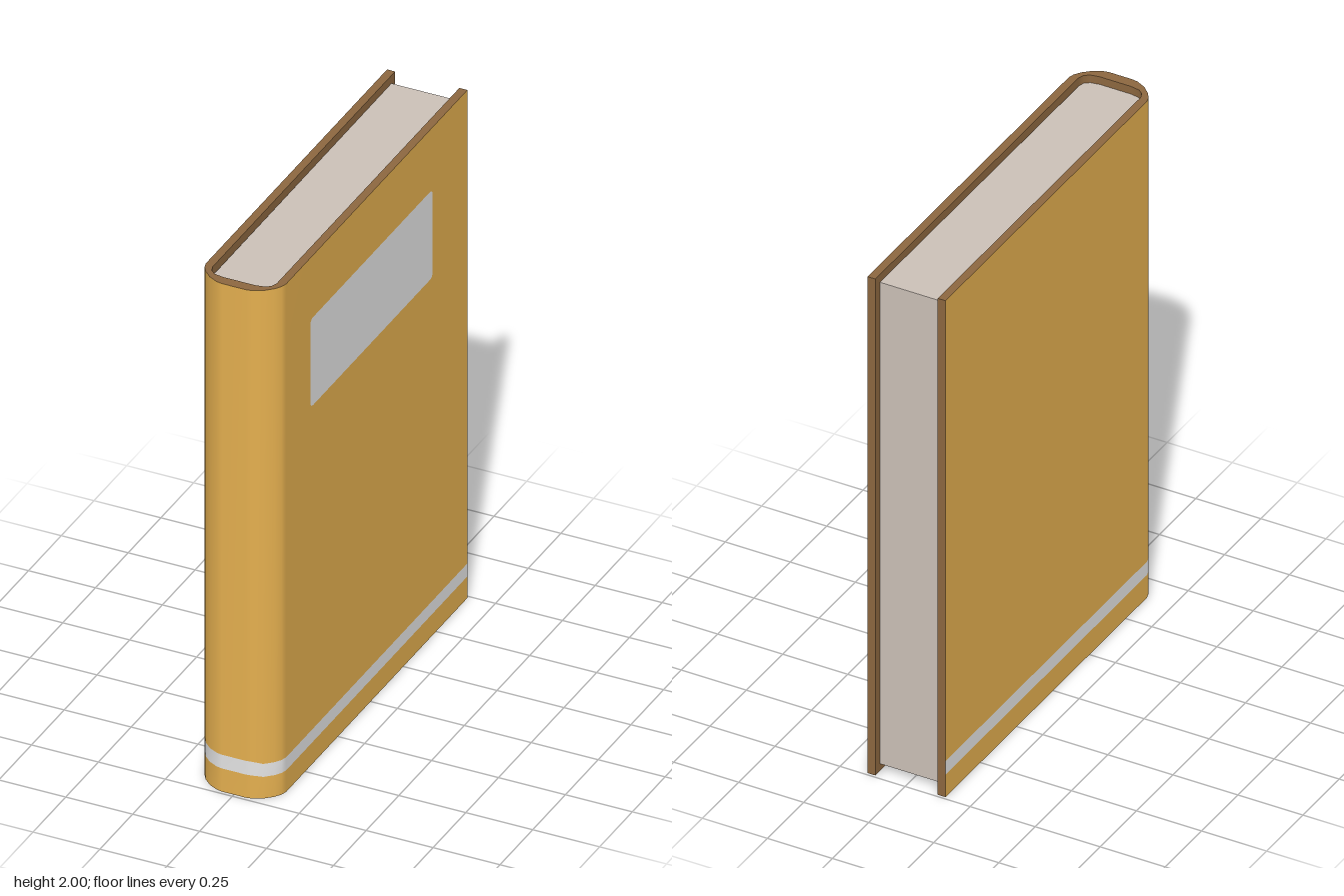
import * as THREE from 'three';

const H = 2, BACK = -0.74, INSET = 0.03;

const material = (name, color, side = THREE.FrontSide) => {
  const m = new THREE.MeshStandardMaterial({ color, side });
  m.name = name;
  return m;
};

// Mirrors the points of the +x half into a full U, running from -x to +x: [x, z]
const mirrored = (half) => [
  ...half.map(([x, z]) => [-x, z]),
  ...half.slice().reverse(),
];

// Upright wall along a path; low and high give the heights at each x
function wall(path, low, high) {
  const pos = [], index = [];
  path.forEach(([x, z], i) => {
    pos.push(x, low(x), z, x, high(x), z);
    if (i) {
      const a = 2 * i - 2;
      index.push(a, a + 2, a + 3, a, a + 3, a + 1);
    }
  });
  const g = new THREE.BufferGeometry();
  g.setAttribute('position', new THREE.Float32BufferAttribute(pos, 3));
  g.setIndex(index);
  g.computeVertexNormals();
  return g;
}

const shapeOf = (path) => new THREE.Shape(path.map(([x, z]) => new THREE.Vector2(x, z)));

export function createModel() {
  const book = new THREE.Group();
  book.name = 'book';
  const cloth = material('ochre cloth', 0xe4af4f);
  const silver = material('silver grey', 0xe4e4e4);
  const board = material('brown board', 0x8d6840, THREE.DoubleSide);
  const paper = material('paper', 0xccc1b8);

  const add = (name, geometry, mat) => {
    const mesh = new THREE.Mesh(geometry, mat);
    mesh.name = name;
    book.add(mesh);
    return mesh;
  };

  const outer = mirrored([[0.15, BACK], [0.15, 0.645], [0.144, 0.667], [0.129, 0.69],
    [0.1, 0.717], [0.066, 0.734], [0.045, 0.738]]);
  const inner = mirrored([[0.12, BACK], [0.12, 0.655], [0.112, 0.678], [0.094, 0.692], [0.06, 0.698]]);
  const pageEdge = mirrored([[0.119, BACK + INSET], [0.117, 0.655], [0.111, 0.677], [0.093, 0.691], [0.06, 0.697]]);

  // Cloth skin in three bands; the stripe steps down slightly round the spine
  const step = (x) => THREE.MathUtils.smoothstep(x, 0.06, 0.1);
  const floor = () => 0, top = () => H;
  const stripeLow = (x) => 0.091 - 0.006 * step(x);
  const stripeHigh = (x) => 0.145 - 0.009 * step(x);
  add('coverBelowStripe', wall(outer, floor, stripeLow), cloth);
  add('coverStripe', wall(outer, stripeLow, stripeHigh), silver);
  add('coverAboveStripe', wall(outer, stripeHigh, top), cloth);

  // Brown lining, fore edges and the U-shaped rims
  add('coverLining', wall(inner.slice().reverse(), floor, top), board);
  for (const [a, b] of [[0.15, 0.12], [-0.12, -0.15]]) {
    add('coverForeEdge', wall([[a, BACK], [b, BACK]], floor, top), board);
  }
  const rim = new THREE.ShapeGeometry(shapeOf([...outer, ...inner.slice().reverse()]));
  rim.rotateX(Math.PI / 2);
  add('bottomRim', rim, board);
  add('topRim', rim, board).position.y = H;

  // Page block, set in from the cover edges
  const pages = new THREE.ExtrudeGeometry(shapeOf(pageEdge), { depth: H - 2 * INSET, bevelEnabled: false });
  pages.rotateX(Math.PI / 2).translate(0, H - INSET, 0);
  add('pages', pages, paper);

  // Blank title plate with rounded corners, laid on the +x cover
  const w = 0.467, y0 = 1.412, y1 = 1.758, r = 0.022;
  const plate = new THREE.Shape();
  plate.moveTo(-w + r, y0).lineTo(w - r, y0).quadraticCurveTo(w, y0, w, y0 + r)
    .lineTo(w, y1 - r).quadraticCurveTo(w, y1, w - r, y1)
    .lineTo(-w + r, y1).quadraticCurveTo(-w, y1, -w, y1 - r)
    .lineTo(-w, y0 + r).quadraticCurveTo(-w, y0, -w + r, y0);
  const label = new THREE.ShapeGeometry(plate, 5);
  label.rotateY(Math.PI / 2).translate(0.1515, 0, -0.004);
  add('titlePlate', label, silver);

  return book;
}
